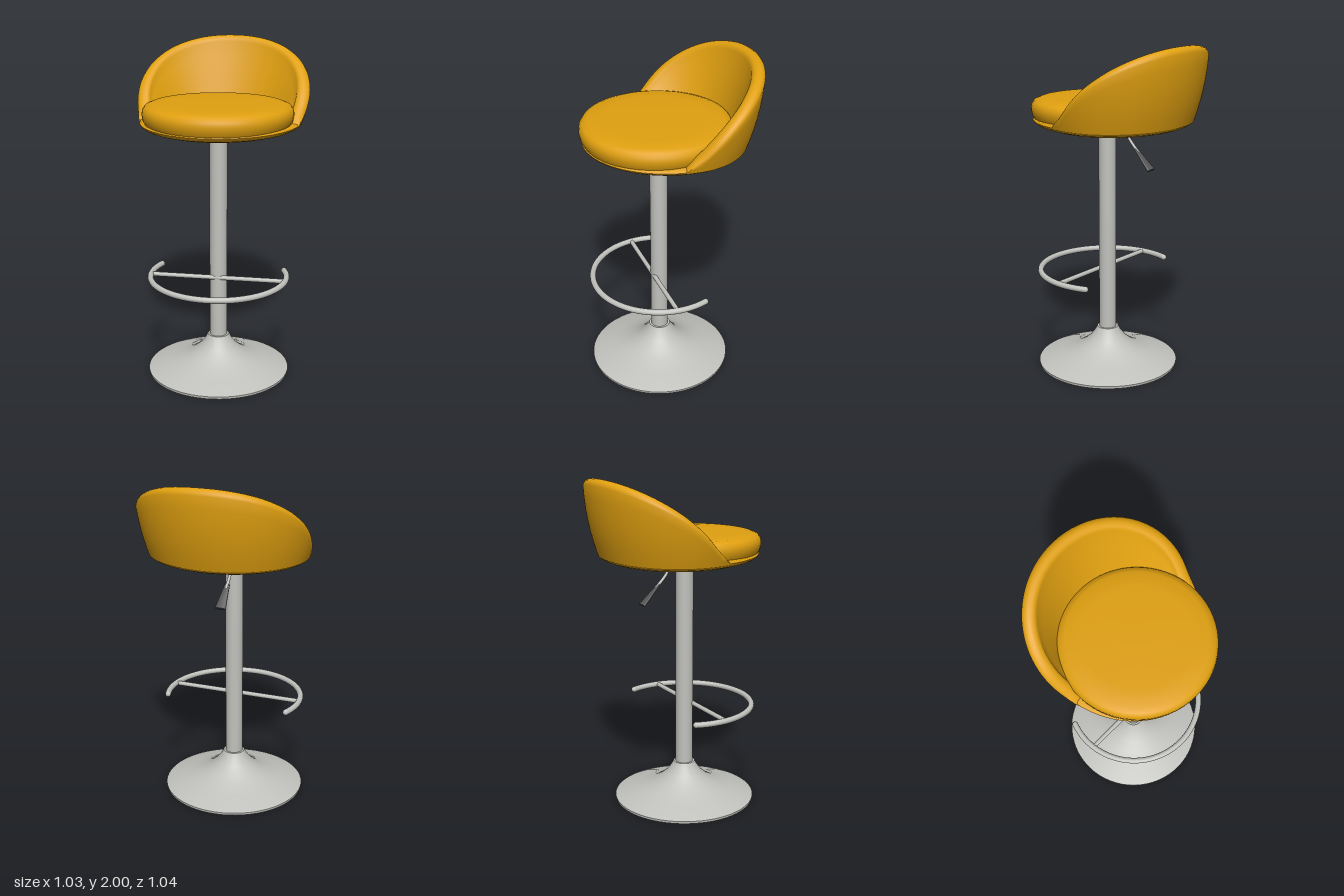
import * as THREE from 'three';
import { toCreasedNormals, mergeVertices } from 'three/addons/utils/BufferGeometryUtils.js';

const upholstery = new THREE.MeshStandardMaterial({ name: 'yellow upholstery', color: 0xe0a010 });
const metal = new THREE.MeshStandardMaterial({ name: 'brushed metal', color: 0xc2c2be });
const darkPlastic = new THREE.MeshStandardMaterial({ name: 'dark handle', color: 0x555555 });

const AXIS_Z = 0.07; // column, base and footrest axis
const SHELL_Y = 1.54; // where the backrest wall meets the bowl

function part(name, geometry, material, x = 0, y = 0, z = 0) {
  const mesh = new THREE.Mesh(geometry, material);
  mesh.name = name;
  mesh.position.set(x, y, z);
  return mesh;
}

function lathe(points, segments = 64) {
  const profile = points.map(([r, y]) => new THREE.Vector2(r, y));
  return toCreasedNormals(new THREE.LatheGeometry(profile, segments), 0.7);
}

// Joins a list of equally long cross-sections into a skin
function loft(rows, closeLoop) {
  const n = rows[0].length;
  const index = [];
  for (let i = 0; i < rows.length - 1; i++) {
    for (let j = 0; j < (closeLoop ? n : n - 1); j++) {
      const k = (j + 1) % n;
      const a = i * n + j, b = i * n + k, c = (i + 1) * n + j, d = (i + 1) * n + k;
      index.push(a, b, c, b, d, c);
    }
  }
  const geometry = new THREE.BufferGeometry();
  geometry.setAttribute('position', new THREE.Float32BufferAttribute(rows.flat(2), 3));
  geometry.setIndex(index);
  const welded = mergeVertices(geometry, 1e-4);
  welded.computeVertexNormals();
  return toCreasedNormals(welded, 0.9);
}

// Plan outline of the seat shell; angle 0 is the back, s scales, d pushes outward
function outline(angle, s, d, y) {
  const sin = Math.sin(angle), cos = Math.cos(angle);
  const depth = cos > 0 ? 0.42 : 0.53;
  return [sin * (0.475 * s + d), y, -0.02 - cos * (depth * s + d)];
}

// Shallow bowl below the cushion
function bowlGeometry() {
  const profile = [[0, 1.48], [0.3, 1.482], [0.6, 1.492], [0.85, 1.51], [0.95, 1.525],
    [0.99, 1.538], [1, 1.548], [0.985, 1.558], [0.9, 1.562], [0, 1.562]];
  const rows = [];
  for (let i = 0; i <= 72; i++) {
    const angle = (i / 72) * Math.PI * 2;
    rows.push(profile.map(([s, y]) => outline(angle, s, 0, y)));
  }
  return loft(rows, false);
}

// Padded wall that is highest at the back and sweeps down into the arms
function backrestGeometry() {
  const end = THREE.MathUtils.degToRad(103);
  const flare = (y) => 0.08 * (1 - (1 - (y - SHELL_Y) / 0.46) ** 2);
  const rows = [];
  for (let i = 0; i <= 72; i++) {
    const angle = -end + (i / 72) * 2 * end;
    const top = 2 - 0.34 * (Math.abs(angle) / (Math.PI / 2)) ** 2.2;
    const rimY = Math.min(0.035, (top - SHELL_Y) * 0.4);
    const shoulder = top - rimY;
    const outer = flare(shoulder), inner = outer - 0.08;
    const section = [];
    for (let k = 0; k < 6; k++) {
      const y = THREE.MathUtils.lerp(SHELL_Y, shoulder, k / 6);
      section.push(outline(angle, 1, flare(y), y));
    }
    for (let k = 0; k <= 8; k++) {
      const t = (k / 8) * Math.PI;
      section.push(outline(angle, 1, outer - 0.04 + 0.04 * Math.cos(t), shoulder + rimY * Math.sin(t)));
    }
    for (let k = 1; k <= 5; k++) {
      const f = k / 5;
      section.push(outline(angle, 1, THREE.MathUtils.lerp(inner, -0.13, f), THREE.MathUtils.lerp(shoulder, SHELL_Y, f)));
    }
    rows.push(section);
  }
  return loft(rows, true);
}

function createSeat() {
  const seat = new THREE.Group();
  seat.name = 'seat';
  const cushion = lathe([[0, 1.55], [0.42, 1.55], [0.434, 1.575], [0.44, 1.61], [0.436, 1.635],
    [0.422, 1.655], [0.39, 1.667], [0.3, 1.672], [0, 1.676]]);
  seat.add(
    part('seatBowl', bowlGeometry(), upholstery),
    part('backrest', backrestGeometry(), upholstery),
    part('cushion', cushion, upholstery, 0, 0, 0.083),
  );
  return seat;
}

function createFootrest() {
  const footrest = new THREE.Group();
  footrest.name = 'footrest';
  footrest.position.set(0, 0.61, AXIS_Z);
  const radius = 0.412, tube = 0.018, overhang = THREE.MathUtils.degToRad(21);
  const ring = new THREE.TorusGeometry(radius, tube, 12, 64, Math.PI + 2 * overhang);
  ring.rotateZ(-overhang).rotateX(Math.PI / 2);
  footrest.add(part('footRing', ring, metal));
  for (const side of [-1, 1]) {
    footrest.add(part('ringEnd', new THREE.SphereGeometry(tube, 12, 8), metal,
      side * radius * Math.cos(overhang), 0, -radius * Math.sin(overhang)));
  }
  const bar = new THREE.CylinderGeometry(0.014, 0.014, 0.81, 12).rotateZ(Math.PI / 2);
  footrest.add(part('crossbar', bar, metal, 0, 0, 0.04));
  return footrest;
}

function createLever() {
  const lever = new THREE.Group();
  lever.name = 'heightLever';
  const path = new THREE.CatmullRomCurve3([[-0.01, 1.473, 0.02], [-0.03, 1.47, -0.05],
    [-0.03, 1.43, -0.075], [-0.03, 1.36, -0.14]].map((p) => new THREE.Vector3(...p)));
  // Flat paddle that widens toward its tip
  const paddle = new THREE.CylinderGeometry(0.016, 0.034, 0.16, 16).scale(1, 1, 0.32);
  const handle = part('leverPaddle', paddle, darkPlastic, -0.03, 1.322, -0.178);
  handle.rotation.x = Math.PI / 4;
  lever.add(part('leverRod', new THREE.TubeGeometry(path, 20, 0.009, 8), metal), handle);
  return lever;
}

export function createModel() {
  const stool = new THREE.Group();
  stool.name = 'barStool';

  // Trumpet-shaped foot
  const base = lathe([[0, 0], [0.43, 0], [0.432, 0.015], [0.4, 0.027], [0.3, 0.056], [0.22, 0.083],
    [0.155, 0.12], [0.11, 0.16], [0.08, 0.2], [0.065, 0.23], [0, 0.23]]);
  stool.add(part('base', base, metal, 0, 0, AXIS_Z));

  // Column and the plate that carries the seat
  stool.add(part('column', new THREE.CylinderGeometry(0.053, 0.053, 1.26, 24), metal, 0, 0.85, AXIS_Z));
  stool.add(part('seatPlate', new THREE.CylinderGeometry(0.115, 0.115, 0.025, 32), metal, 0, 1.477, 0.06));

  stool.add(createSeat(), createFootrest(), createLever());
  return stool;
}
